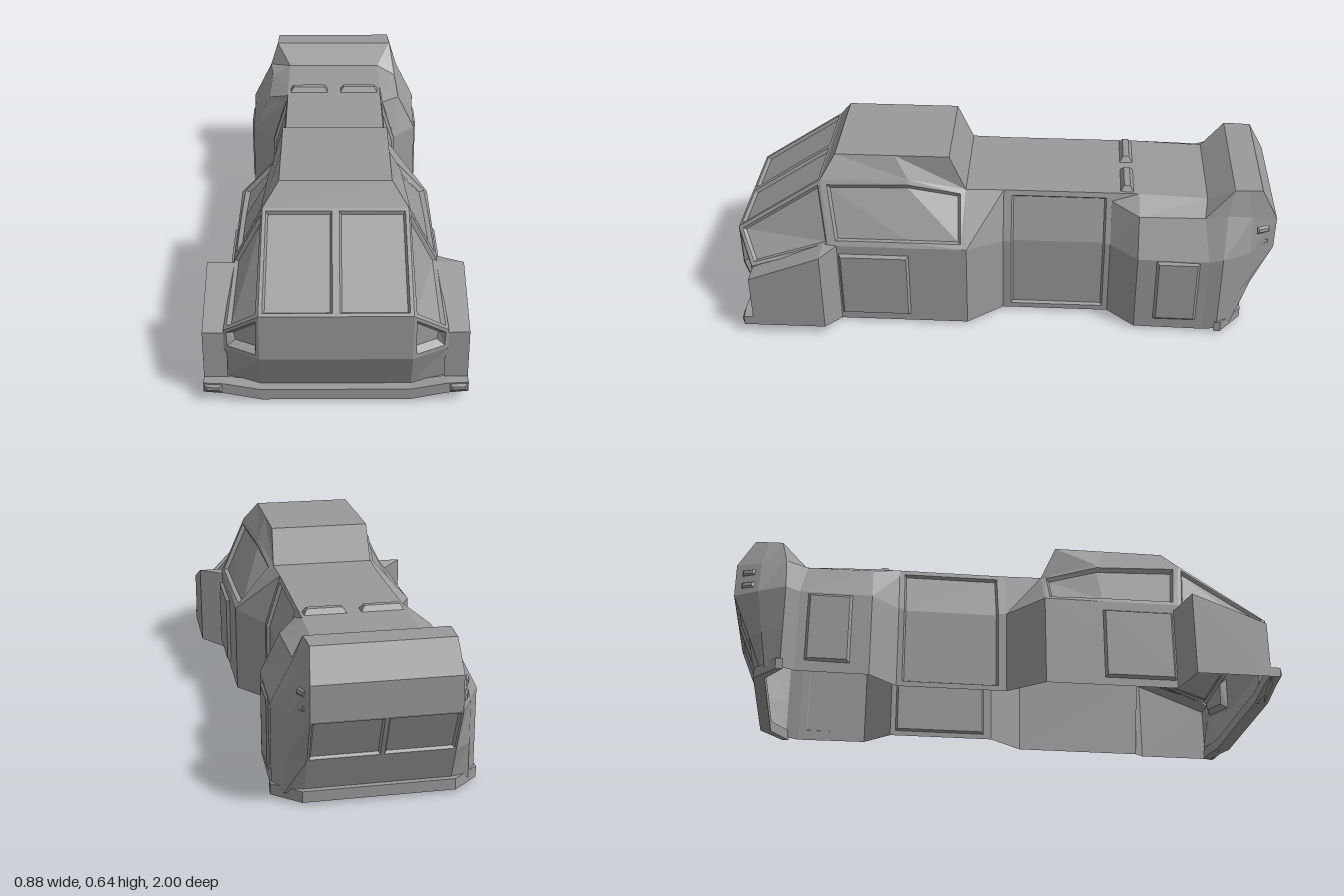
import * as THREE from 'three';

const V = (p) => new THREE.Vector3(...p);
const flip = (p) => [-p[0], p[1], p[2]];
const material = new THREE.MeshStandardMaterial({ color: 0x999999, flatShading: true, side: THREE.DoubleSide });

// Normal of a quad, turned away from the body's long axis
function outward(q) {
  const [a, b, c, d] = q.map(V);
  const n = c.clone().sub(a).cross(d.clone().sub(b)).normalize();
  const mid = a.clone().add(b).add(c).add(d).divideScalar(4);
  const core = new THREE.Vector3(0, 0.2, THREE.MathUtils.clamp(mid.z, -0.8, 0.8));
  const sign = n.dot(mid.sub(core)) < 0 ? -1 : 1;
  return { n: n.multiplyScalar(sign), sign };
}

// Quads between neighbouring rows of points
function loft(rows) {
  const quads = [];
  for (let i = 0; i + 1 < rows.length; i++)
    for (let j = 0; j + 1 < rows[i].length; j++)
      quads.push([rows[i][j], rows[i + 1][j], rows[i + 1][j + 1], rows[i][j + 1]]);
  return quads;
}

// A quad strip spanning from a half profile to its mirror image
const across = (pts) => loft([pts, pts.map(flip)]);

// Strip outline with a flat margin, a bevel and a panel sunk by depth (raised if negative)
function framed(pts, margin, bevel, depth) {
  const n = pts.length, h = n / 2;
  const normal = outward([pts[0], pts[h - 1], pts[h], pts[n - 1]]).n;
  const inset = (w, d) => pts.map((a, i) => {
    const p = V(a), q = p.clone();
    const pull = (k) => q.addScaledVector(V(pts[k]).sub(p).normalize(), w);
    pull(n - 1 - i);
    if (i === 0 || i === h) pull(i + 1);
    if (i === h - 1 || i === n - 1) pull(i - 1);
    return q.addScaledVector(normal, -d).toArray();
  });
  const close = (r) => [...r, r[0]];
  const panel = inset(margin + bevel, depth);
  const rings = [pts, panel];
  if (margin) rings.splice(1, 0, inset(margin, 0));
  return [...loft(rings.map(close)), ...loft([panel.slice(0, h), panel.slice(h).reverse()])];
}

export function createModel() {
  const group = new THREE.Group();

  function add(name, quads, mirrored = false) {
    const all = mirrored ? [...quads, ...quads.map((q) => q.map(flip))] : quads;
    const pos = [];
    for (const q of all) {
      const [a, b, c, d] = outward(q).sign > 0 ? q : [...q].reverse();
      pos.push(...a, ...b, ...c, ...a, ...c, ...d);
    }
    const g = new THREE.BufferGeometry();
    g.setAttribute('position', new THREE.Float32BufferAttribute(pos, 3));
    g.computeVertexNormals();
    const mesh = new THREE.Mesh(g, material);
    mesh.name = name;
    group.add(mesh);
  }

  // Shared corners of the cab
  const roofFront = [0.19, 0.645, 0.62], roofRear = [0.19, 0.645, 0.2], roofMid = [0.19, 0.645, 0.4];
  const screenTop = [0.245, 0.568, 0.67], screenLow = [0.25, 0.35, 0.995];
  const creaseMid = [0.225, 0.565, 0.35], creaseRear = [0.195, 0.51, 0.14];
  const sillFront = [0.35, 0.345, 0.63], sillMid = [0.35, 0.345, 0.35], sillRear = [0.35, 0.345, 0.13];
  const noseSide = [0.37, 0.255, 0.93], noseSideLow = [0.37, 0.185, 0.93], noseLow = [0.25, 0.185, 0.995];
  const chin = [0.25, 0.05, 0.94], chinSide = [0.37, 0.06, 0.905];

  // Cab roof and windows
  add('cabRoof', across([screenTop, roofFront, roofRear, creaseRear]));
  add('roofSide', loft([[screenTop, creaseMid, creaseRear], [roofFront, roofMid, roofRear]]), true);
  add('windshield', framed([[0, 0.568, 0.67], screenTop, screenLow, [0, 0.35, 0.995]], 0.012, 0.007, 0.012), true);
  add('quarterWindow', framed([screenTop, screenLow, noseSide, sillFront], 0.014, 0.008, 0.012), true);
  add('sideWindow', framed([sillRear, sillMid, sillFront, screenTop, creaseMid, creaseRear], 0.02, 0.01, 0.015), true);

  // Nose with sunken headlights
  add('nose', across([screenLow, noseLow, chin]));
  add('noseCorner', loft([[noseLow, chin], [noseSideLow, chinSide]]), true);
  add('headlight', framed([screenLow, noseSide, noseSideLow, noseLow], 0.014, 0.016, 0.025), true);

  // Front fenders
  const fenderTop = [[0.44, 0.35, 0.66], [0.44, 0.245, 0.93]];
  add('frontFender', [
    [[0.44, 0.035, 0.66], ...fenderTop, [0.44, 0.035, 0.93]],
    [...fenderTop, [0.36, 0.245, 0.93], [0.34, 0.35, 0.66]],
    [fenderTop[1], [0.44, 0.035, 0.93], [0.36, 0.035, 0.93], [0.36, 0.245, 0.93]],
    [fenderTop[0], [0.44, 0.035, 0.66], [0.35, 0.01, 0.61], [0.35, 0.32, 0.61]],
    [fenderTop[0], [0.35, 0.32, 0.61], [0.35, 0.345, 0.61], [0.34, 0.35, 0.66]],
  ], true);

  // Lower cab wall with a raised panel
  add('cabWall', loft([[sillFront, sillRear], [[0.35, 0.01, 0.61], [0.35, 0.01, 0.13]]]), true);
  add('cabSidePanel', framed([[0.35, 0.04, 0.345], [0.35, 0.04, 0.605], [0.35, 0.31, 0.605], [0.35, 0.31, 0.345]], 0, 0.008, -0.013), true);

  // Narrow waist with sunken doors
  const waist = (z) => [[0.19, 0.51, z], [0.25, 0.32, z], [0.25, 0.01, z]];
  add('cabTaper', loft([[creaseRear, sillRear, [0.35, 0.01, 0.13]], waist(0)]), true);
  add('door', framed([...waist(-0.01).reverse(), ...waist(-0.4)], 0.02, 0.007, 0.012), true);
  add('doorPillar', loft([waist(0), waist(-0.01)]), true);
  add('mainRoof', across([creaseRear, [0.19, 0.51, 0], [0.19, 0.51, -0.4], [0.19, 0.51, -0.5], [0.19, 0.5, -0.75], [0.245, 0.57, -0.84], [0.24, 0.57, -0.94]]));

  // Wide rear body and raised tail
  const tail = [[0.24, 0.57, -0.94], [0.25, 0.46, -1], [0.25, 0.335, -1], [0.25, 0.17, -0.932], [0.25, 0.05, -0.885]];
  add('rearBody', loft([
    [[0.19, 0.51, -0.4], [0.2, 0.48, -0.4], [0.25, 0.32, -0.4], [0.25, 0.17, -0.4], [0.25, 0.01, -0.4]],
    [[0.19, 0.51, -0.5], [0.27, 0.46, -0.5], [0.34, 0.32, -0.5], [0.34, 0.17, -0.5], [0.34, 0.01, -0.5]],
    [[0.19, 0.5, -0.75], [0.265, 0.46, -0.74], [0.345, 0.32, -0.76], [0.345, 0.17, -0.76], [0.345, 0.01, -0.76]],
    [[0.245, 0.57, -0.84], [0.275, 0.48, -0.82], [0.35, 0.335, -0.81], [0.35, 0.17, -0.81], [0.35, 0.02, -0.81]],
    [[0.243, 0.57, -0.89], [0.264, 0.47, -0.91], [0.3, 0.335, -0.91], [0.308, 0.17, -0.887], [0.315, 0.03, -0.865]],
    tail,
  ]), true);
  add('tailFace', across(tail.slice(0, 3)));
  add('tailgateLower', across(tail.slice(3)));

  // Upper tailgate sunk on both sides of a central rib
  add('tailgateUpper', framed([[0, 0.335, -1], tail[2], tail[3], [0, 0.17, -0.932]], 0.007, 0.006, 0.01), true);
  add('rearSidePanel', framed([[0.342, 0.05, -0.57], [0.343, 0.05, -0.73], [0.343, 0.315, -0.73], [0.342, 0.315, -0.57]], 0, 0.01, -0.008), true);

  // Small vents on the tail corners
  for (const y of [0.36, 0.41])
    add('tailVent', framed([[0.282, y, -0.93], [0.262, y, -0.975], [0.26, y + 0.025, -0.975], [0.276, y + 0.025, -0.93]], 0, 0.006, -0.006), true);

  // Roof vents
  add('roofVent', framed([[0.025, 0.508, -0.43], [0.18, 0.508, -0.43], [0.18, 0.508, -0.48], [0.025, 0.508, -0.48]], 0, 0.014, -0.022), true);

  // Bumpers swept through sections of x, inner z, outer z, bottom y, top y
  function bumper(name, sections) {
    const ring = ([x, z0, z1, y0, y1]) => [[x, y0, z0], [x, y1, z0], [x, y1, z1], [x, y0, z1], [x, y0, z0]];
    const rows = sections.map(ring);
    add(name, [...loft(rows), rows[0].slice(0, 4)], true);
    add(name + 'Middle', across(rows[rows.length - 1]));
  }
  bumper('frontBumper', [[0.44, 0.925, 0.965, 0.035, 0.07], [0.37, 0.925, 0.97, 0.032, 0.07], [0.25, 0.925, 0.975, 0.01, 0.05]]);
  add('bumperLight', framed([[0.378, 0.037, 0.97], [0.437, 0.037, 0.966], [0.437, 0.066, 0.966], [0.378, 0.066, 0.97]], 0, 0.009, -0.006), true);
  add('fenderSkirt', [
    [[0.44, 0.035, 0.955], [0.37, 0.032, 0.955], [0.355, 0, 0.93], [0.44, 0.035, 0.93]],
    [[0.37, 0.032, 0.955], [0.25, 0.01, 0.96], [0.25, 0.005, 0.93], [0.355, 0, 0.93]],
  ], true);
  bumper('rearBumper', [[0.355, -0.8, -0.825, 0.01, 0.05], [0.26, -0.865, -0.905, 0.01, 0.05]]);

  return group;
}
